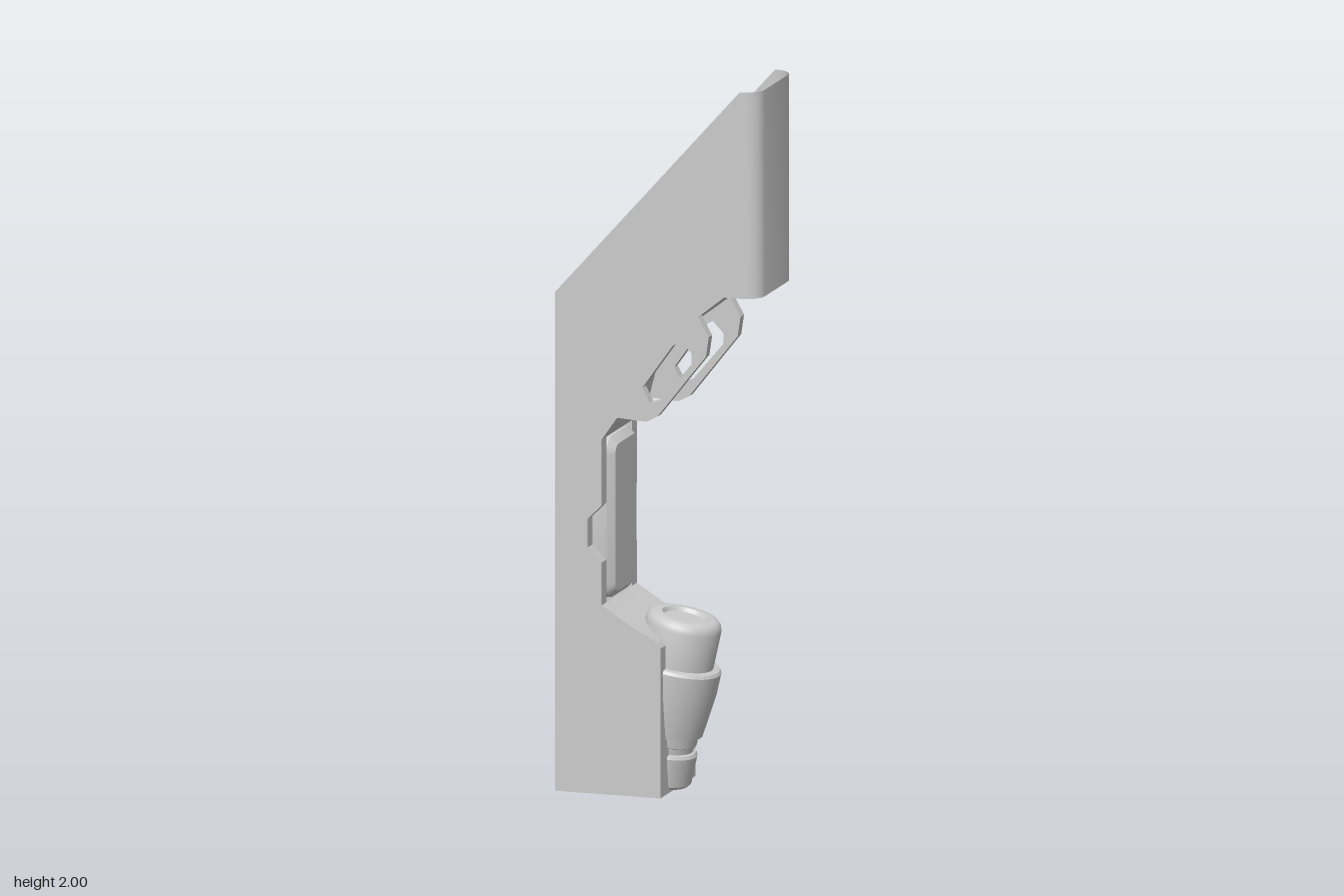
import * as THREE from 'three';
import { toCreasedNormals } from 'three/addons/utils/BufferGeometryUtils.js';

const W = 0.15;      // half width of the shell
const TAB = 0.12;    // inner face of the slotted tabs
const PAD = 0.11;    // half width of the pad

const material = new THREE.MeshStandardMaterial({ color: 0xcccccc, side: THREE.DoubleSide });

function mesh(name, geometry, parent) {
  const m = new THREE.Mesh(geometry, material);
  m.name = name;
  parent.add(m);
  return m;
}

// Surface joining successive rows of [x, y, z] points
function loft(rows) {
  const position = [];
  for (let i = 0; i < rows.length - 1; i++) {
    for (let j = 0; j < rows[i].length - 1; j++) {
      const a = rows[i][j], b = rows[i][j + 1], c = rows[i + 1][j + 1], d = rows[i + 1][j];
      position.push(...a, ...b, ...c, ...a, ...c, ...d);
    }
  }
  const g = new THREE.BufferGeometry();
  g.setAttribute('position', new THREE.Float32BufferAttribute(position, 3));
  return toCreasedNormals(g, 0.5);
}

// Side-view polyline swept across z
const strip = (pts, z0, z1) => loft([z0, z1].map((z) => pts.map(([x, y]) => [x, y, z])));

const toShape = (pts) => new THREE.Shape(pts.map(([x, y]) => new THREE.Vector2(x, y)));

function flatPlate(pts, z, hole) {
  const shape = toShape(pts);
  if (hole) shape.holes.push(toShape(hole));
  return new THREE.ShapeGeometry(shape).translate(0, 0, z);
}

// Rounded rectangle in the (z, y) plane as a closed list of points
function roundedRing(x, halfZ, y0, y1, r) {
  const ring = [];
  const centres = [[halfZ - r, y1 - r], [r - halfZ, y1 - r], [r - halfZ, y0 + r], [halfZ - r, y0 + r]];
  centres.forEach(([cz, cy], q) => {
    for (let i = 0; i <= 4; i++) {
      const a = (q + i / 4) * Math.PI / 2;
      ring.push([x, cy + r * Math.sin(a), cz + r * Math.cos(a)]);
    }
  });
  ring.push(ring[0]);
  return ring;
}

export function createModel() {
  const model = new THREE.Group();
  model.name = 'hollowGripShell';

  // Shared side-view outlines
  const tab = [[0.12, 1.36], [0.15, 1.305], [0.142, 1.25], [0.1, 1.197], [0.002, 1.072],
    [-0.03, 1.055], [-0.115, 1.06]];
  const slot = [[-0.042, 1.15], [0.046, 1.274], [0.07, 1.288], [0.101, 1.255], [0.1, 1.225],
    [0.01, 1.118], [-0.02, 1.108]];
  const notch = [[-0.16, 0.995], [-0.16, 0.81], [-0.2, 0.77], [-0.2, 0.69], [-0.16, 0.65], [-0.16, 0.53]];
  const lower = [[-0.16, 0.53], [-0.08, 0.48], [-0.005, 0.44], [0.01, 0.42], [0.01, 0]];
  const recess = [[0.12, 1.36], [-0.075, 1.21], [-0.115, 1.06]];

  // Mirrored sides: panel, hollow slotted tab, notch edge
  for (const s of [1, -1]) {
    const side = new THREE.Group();
    side.name = s > 0 ? 'frontSide' : 'backSide';
    side.scale.z = s;
    model.add(side);
    const outline = [[-0.295, 0], [-0.295, 1.4], [0.24, 2], [0.24, 1.42], [0.195, 1.42],
      ...tab, ...notch, ...lower.slice(1)];
    mesh('sidePanel', flatPlate(outline, W, slot), side);
    mesh('tabInnerFace', flatPlate([...tab, recess[1]], TAB, slot), side);
    mesh('tabRim', strip(tab, TAB, W), side);
    mesh('slotWall', strip([...slot, slot[0]], TAB, W), side);
    mesh('notchEdge', strip(notch, PAD, W), side);
  }

  // Upper nose with rounded vertical corners and its underside
  const nose = [];
  for (let i = 0; i <= 6; i++) {
    const a = Math.PI / 2 * (1 - i / 6);
    nose.push([0.24 + 0.055 * Math.cos(a), 0.1 + 0.05 * Math.sin(a)]);
  }
  nose.push(...nose.map(([x, z]) => [x, -z]).reverse());
  mesh('upperNose', loft([2, 1.42].map((y) => nose.map(([x, z]) => [x, y, z]))), model);
  const underside = flatPlate([[0.195, W], ...nose, [0.195, -W]], 0).rotateX(Math.PI / 2).translate(0, 1.42, 0);
  mesh('noseUnderside', underside, model);

  // Walls between the side panels
  mesh('upperSlope', strip([[0.195, 1.42], recess[0]], -W, W), model);
  mesh('recessWall', strip(recess, -TAB, TAB), model);
  mesh('slopeAbovePad', strip([[-0.115, 1.06], [-0.16, 0.995]], -W, W), model);
  mesh('lowerWall', strip(lower, -W, W), model);

  // Bevelled pad, open at the back
  const padFace = roundedRing(-0.14, 0.09, 0.555, 0.968, 0.025);
  mesh('padShell', loft([
    roundedRing(-0.21, PAD, 0.535, 0.988, 0.045),
    roundedRing(-0.16, PAD, 0.535, 0.988, 0.045),
    padFace,
  ]), model);
  const face = flatPlate(padFace.slice(0, -1).map(([, y, z]) => [-z, y]), 0)
    .rotateY(Math.PI / 2).translate(-0.14, 0, 0);
  mesh('padFace', face, model);

  // Tilted stepped cylinder with a dished cap
  const profile = [[0, 0], [0.108, 0], [0.114, 0.008], [0.114, 0.088], [0.108, 0.096], [0.1, 0.098],
    [0.1, 0.115], [0.106, 0.118], [0.106, 0.143], [0.117, 0.146], [0.13, 0.27], [0.13, 0.33],
    [0.124, 0.338], [0.106, 0.34], [0.106, 0.445], [0.102, 0.46], [0.093, 0.47], [0.082, 0.473],
    [0.065, 0.473], [0.058, 0.462], [0, 0.462]];
  const lathe = new THREE.LatheGeometry(profile.map(([r, y]) => new THREE.Vector2(r, y)), 40);
  const grip = mesh('steppedCylinder', toCreasedNormals(lathe, 0.6), model);
  grip.rotation.z = -0.218;
  grip.position.set(-0.07, 0.025, 0);

  return model;
}
